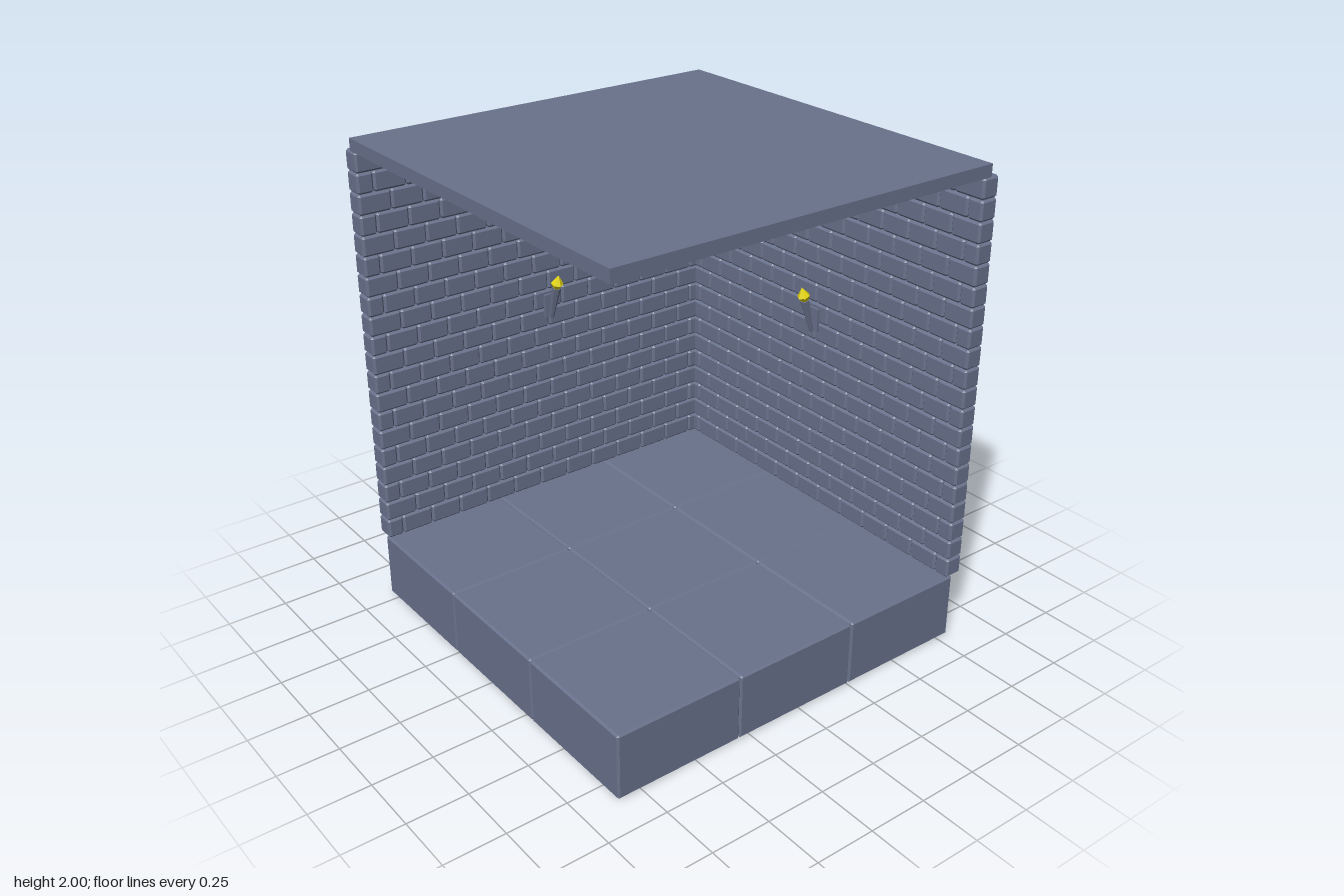
import * as THREE from 'three';
import { mergeGeometries } from 'three/addons/utils/BufferGeometryUtils.js';
import { ConvexGeometry } from 'three/addons/geometries/ConvexGeometry.js';

const LO = -0.81, HI = 0.85, MID = (LO + HI) / 2, SPAN = HI - LO;
const FLOOR_TOP = 0.28, WALL_TOP = 1.95, THICK = 0.08;

// Box with flat chamfered edges
function chamferBox(w, h, d, c) {
  const pts = [];
  for (const x of [-1, 1]) for (const y of [-1, 1]) for (const z of [-1, 1]) {
    for (let flat = 0; flat < 3; flat++) {
      const inset = [c, c, c];
      inset[flat] = 0;
      pts.push(new THREE.Vector3(
        x * (w / 2 - inset[0]), y * (h / 2 - inset[1]), z * (d / 2 - inset[2])));
    }
  }
  return new ConvexGeometry(pts);
}

// Running-bond wall along x, centred on z = 0
function brickWall() {
  const rows = 20, count = 12;
  const w = SPAN / count, h = (WALL_TOP - FLOOR_TOP) / rows;
  const full = chamferBox(w, h, THICK, 0.009);
  const half = chamferBox(w / 2, h, THICK, 0.009);
  const parts = [];
  for (let r = 0; r < rows; r++) {
    const y = FLOOR_TOP + (r + 0.5) * h;
    if (r % 2 === 1) {
      for (let i = 0; i < count; i++) parts.push(full.clone().translate(LO + (i + 0.5) * w, y, 0));
    } else {
      parts.push(half.clone().translate(LO + w / 4, y, 0));
      for (let i = 1; i < count; i++) parts.push(full.clone().translate(LO + i * w, y, 0));
      parts.push(half.clone().translate(HI - w / 4, y, 0));
    }
  }
  return mergeGeometries(parts);
}

function flat(geometry) {
  const g = geometry.toNonIndexed();
  g.computeVertexNormals();
  return g;
}

export function createModel() {
  const stone = new THREE.MeshStandardMaterial({ color: 0x69728c });
  stone.name = 'slate stone';
  const yellow = new THREE.MeshStandardMaterial({ color: 0xe6d80c });
  yellow.name = 'flame yellow';

  const model = new THREE.Group();
  model.name = 'brickRoom';
  const add = (parent, name, geometry, material, x = 0, y = 0, z = 0) => {
    const mesh = new THREE.Mesh(geometry, material);
    mesh.name = name;
    mesh.position.set(x, y, z);
    parent.add(mesh);
    return mesh;
  };

  // Floor of nine thick slabs
  const s = SPAN / 3;
  const slab = chamferBox(s, FLOOR_TOP, s, 0.008);
  for (let i = 0; i < 3; i++) for (let j = 0; j < 3; j++) {
    add(model, 'floorSlab', slab, stone, LO + (i + 0.5) * s, FLOOR_TOP / 2, LO + (j + 0.5) * s);
  }

  // Two brick walls and the roof
  const wall = brickWall();
  const wallCentre = -0.855 + THICK / 2;
  add(model, 'backWall', wall, stone, 0, 0, wallCentre);
  add(model, 'sideWall', wall, stone, wallCentre, 0, 0).rotation.y = -Math.PI / 2;
  add(model, 'roof', new THREE.BoxGeometry(SPAN, 2 - WALL_TOP, SPAN), stone,
    MID, (2 + WALL_TOP) / 2, MID);

  // Torch leaning out of its wall along +z
  function torch(name) {
    const g = new THREE.Group();
    g.name = name;
    add(g, 'bracket', new THREE.BoxGeometry(0.052, 0.1, 0.012), stone, 0, 1.13, 0.006);
    const lean = new THREE.Group();
    lean.name = 'leaningTorch';
    lean.position.set(0, 1.08, 0.018);
    lean.rotation.x = 0.3;
    g.add(lean);
    add(lean, 'handle', flat(new THREE.CylinderGeometry(0.02, 0.01, 0.155, 6)), stone, 0, 0.077, 0);
    add(lean, 'flameBase', flat(new THREE.CylinderGeometry(0.027, 0.014, 0.025, 6)), yellow, 0, 0.164, 0);
    add(lean, 'flame', flat(new THREE.ConeGeometry(0.027, 0.042, 6)), yellow, 0, 0.197, 0);
    model.add(g);
    return g;
  }
  const inner = -0.855 + THICK;
  torch('backTorch').position.set(MID, 0, inner);
  const side = torch('sideTorch');
  side.position.set(inner, 0, MID);
  side.rotation.y = Math.PI / 2;

  return model;
}
